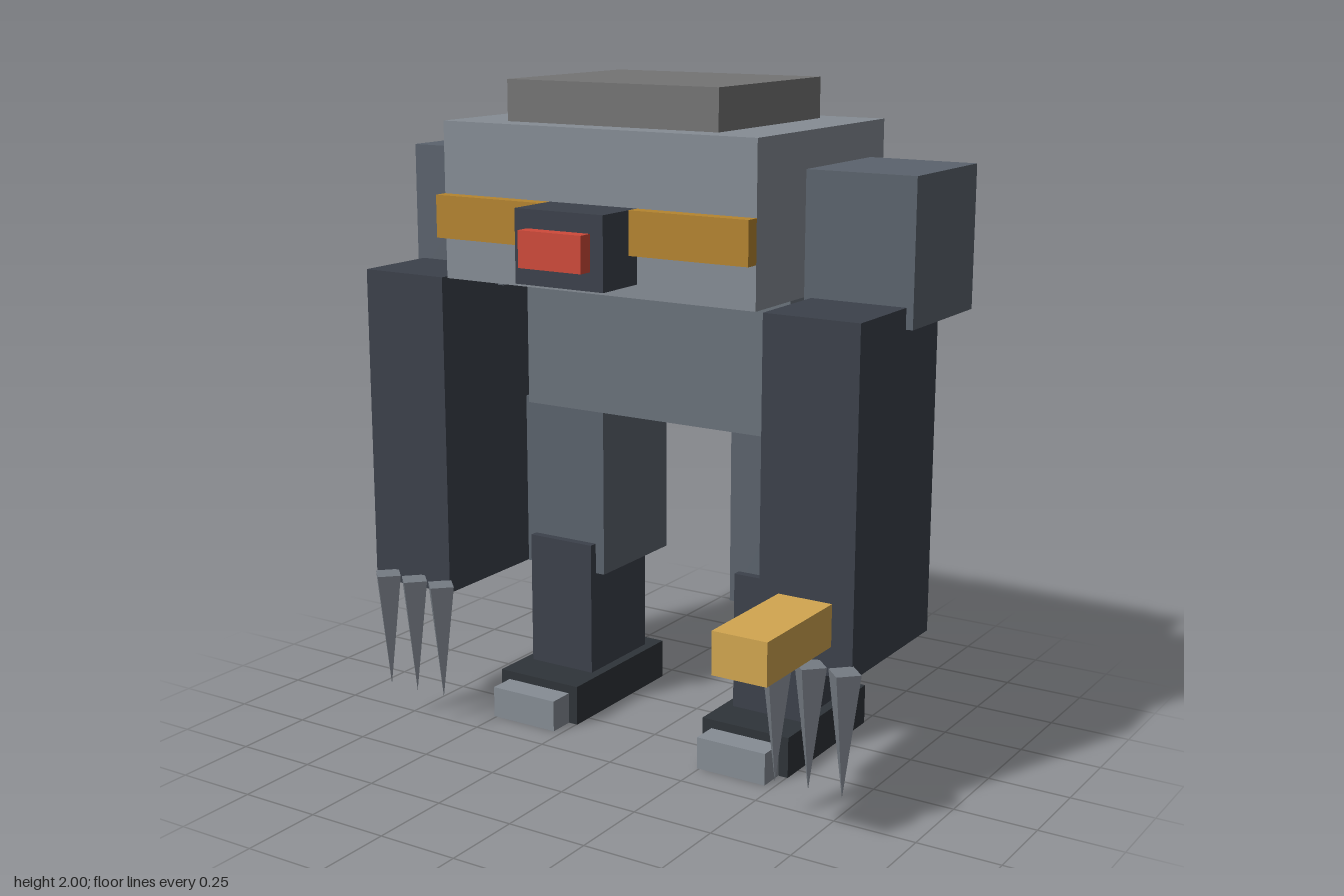
import * as THREE from 'three';

const mat = (color) => new THREE.MeshStandardMaterial({ color, flatShading: true });
const M = {
  hull: mat(0x868d95), waist: mat(0x6a727b), joint: mat(0x5b636d), limb: mat(0x3c414b),
  foot: mat(0x2f3439), hatch: mat(0x747474), band: mat(0xb58530), gun: mat(0xd2a650),
  eye: mat(0xcf4a3a), claw: mat(0x757b83),
};
const MID = -0.018; // the body's plane of symmetry

// Box given by its extents along each axis
function box(parent, name, material, [x0, x1], [y0, y1], [z0, z1]) {
  const mesh = new THREE.Mesh(new THREE.BoxGeometry(x1 - x0, y1 - y0, z1 - z0), material);
  mesh.position.set((x0 + x1) / 2, (y0 + y1) / 2, (z0 + z1) / 2);
  mesh.name = name;
  parent.add(mesh);
}

export function createModel() {
  const model = new THREE.Group();
  model.name = 'walkingRobot';

  // Body
  box(model, 'upperTorso', M.hull, [-0.54, 0.503], [1.42, 1.88], [-0.46, 0.29]);
  box(model, 'topHatch', M.hatch, [-0.37, 0.335], [1.88, 2], [-0.375, 0.207]);
  box(model, 'lowerTorso', M.waist, [-0.477, 0.44], [0.993, 1.42], [-0.645, -0.02]);

  // Face
  box(model, 'chestBand', M.band, [-0.54, 0.503], [1.545, 1.67], [0.29, 0.333]);
  box(model, 'head', M.limb, [-0.165, 0.127], [1.46, 1.67], [0.29, 0.458]);
  box(model, 'eye', M.eye, [-0.123, 0.085], [1.513, 1.617], [0.458, 0.502]);

  for (const side of [-1, 1]) {
    const label = side > 0 ? 'left' : 'right';
    // Extents measured outward from the middle plane
    const span = (a, b) => (side > 0 ? [MID + a, MID + b] : [MID - b, MID - a]);

    // Arm with three hanging claws
    const arm = new THREE.Group();
    arm.name = label + 'Arm';
    box(arm, 'shoulder', M.joint, span(0.521, 0.854), [1.36, 1.775], [-0.375, 0.018]);
    box(arm, 'forearm', M.limb, span(0.543, 0.833), [0.44, 1.42], [-0.19, 0.29]);
    for (let i = -1; i <= 1; i++) {
      const claw = new THREE.Mesh(new THREE.ConeGeometry(0.05, 0.365, 4), M.claw);
      claw.rotation.x = Math.PI; // point down
      claw.position.set(MID + side * 0.688 + 0.041 + i * 0.104, 0.298, 0.333);
      claw.name = 'claw';
      arm.add(claw);
    }
    model.add(arm);

    // Leg
    const leg = new THREE.Group();
    leg.name = label + 'Leg';
    box(leg, 'thigh', M.joint, span(0.229, 0.521), [0.45, 0.993], [-0.458, -0.09]);
    box(leg, 'shin', M.limb, span(0.26, 0.49), [0.125, 0.547], [-0.375, -0.063]);
    box(leg, 'foot', M.foot, span(0.229, 0.521), [0, 0.125], [-0.435, 0.065]);
    box(leg, 'toe', M.hull, span(0.26, 0.49), [0, 0.098], [0.065, 0.148]);
    model.add(leg);
  }

  // Barrel on the left forearm
  box(model, 'armBarrel', M.gun, [0.585, 0.75], [0.525, 0.647], [0.29, 0.645]);
  return model;
}
